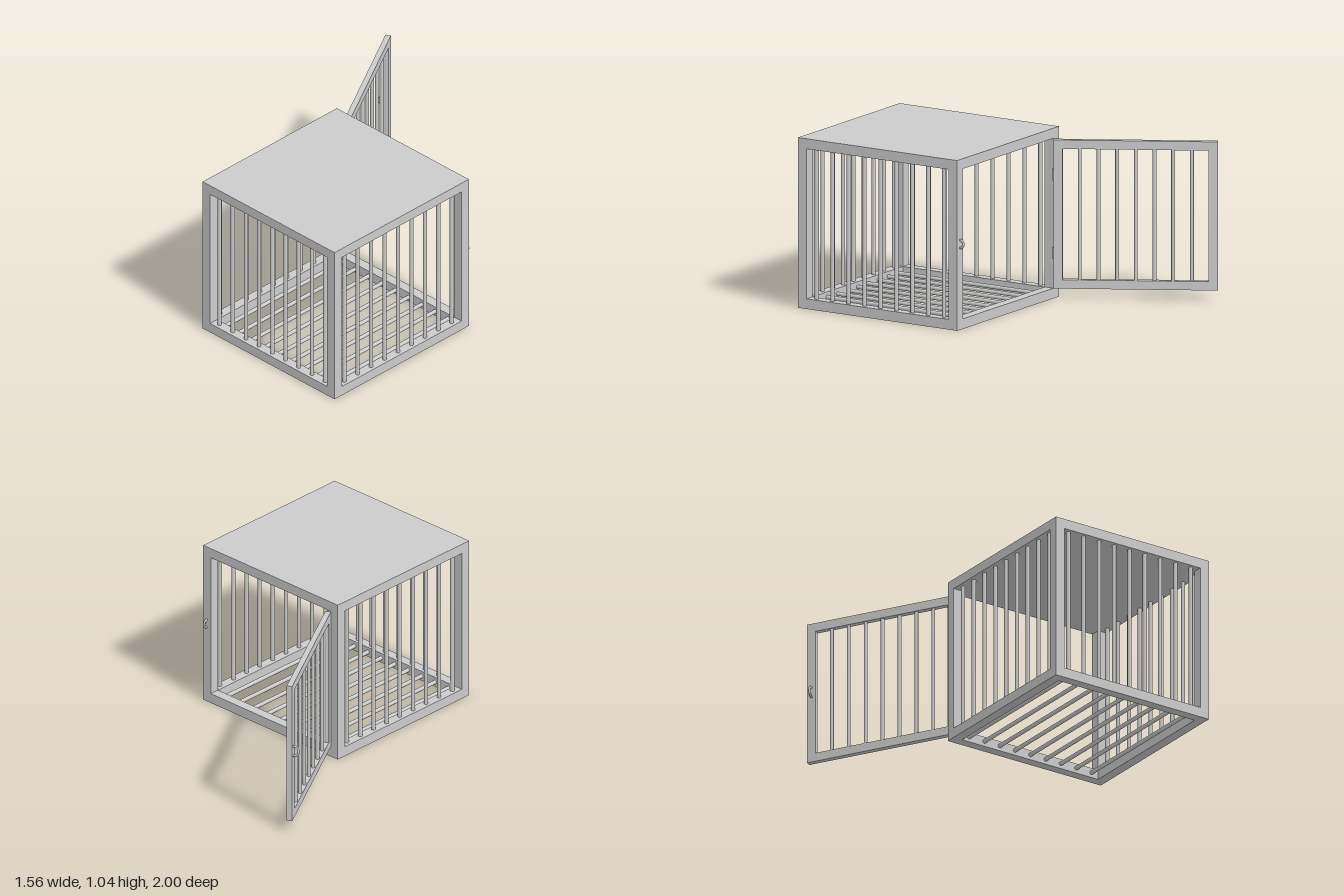
import * as THREE from 'three';

const X0 = -0.33, X1 = 0.777, Z0 = -0.135, Z1 = 1.0, H = 1.04, F = 0.062;
const W = X1 - X0, D = Z1 - Z0, CX = (X0 + X1) / 2, CZ = (Z0 + Z1) / 2;
const material = new THREE.MeshStandardMaterial({ color: 0xcccccc });

function add(parent, name, geometry, x, y, z) {
  const mesh = new THREE.Mesh(geometry, material);
  mesh.name = name;
  mesh.position.set(x, y, z);
  parent.add(mesh);
  return mesh;
}

const box = (parent, name, w, h, d, x, y, z) =>
  add(parent, name, new THREE.BoxGeometry(w, h, d), x, y, z);

const bar = (parent, name, radius, length, x, y, z) =>
  add(parent, name, new THREE.CylinderGeometry(radius, radius, length, 12), x, y, z);

// Half ring standing out toward -z, upright in the yz plane
function latch(parent, name, radius, tube, x, y, z) {
  const geometry = new THREE.TorusGeometry(radius, tube, 8, 16, Math.PI);
  geometry.rotateZ(Math.PI / 2).rotateY(-Math.PI / 2);
  return add(parent, name, geometry, x, y, z);
}

function createCage() {
  const cage = new THREE.Group();
  cage.name = 'cage';

  // Solid roof, corner posts and bottom rails
  box(cage, 'roof', W, F, D, CX, H - F / 2, CZ);
  for (const x of [X0 + F / 2, X1 - F / 2]) {
    for (const z of [Z0 + F / 2, Z1 - F / 2]) {
      box(cage, 'cornerPost', F, H - 2 * F, F, x, H / 2, z);
    }
    box(cage, 'sideBottomRail', F, F, D - 2 * F, x, F / 2, CZ);
  }
  for (const z of [Z0 + F / 2, Z1 - F / 2]) {
    box(cage, 'crossBottomRail', W, F, F, CX, F / 2, z);
  }

  // Upright bars on the front and both sides, floor bars running front to back
  const r = 0.0125, barLength = H - 1.6 * F;
  for (let i = 1; i < 10; i++) {
    const x = X0 + W * i / 10, z = Z0 + D * i / 10;
    bar(cage, 'frontBar', r, barLength, x, H / 2, Z1 - F / 2);
    bar(cage, 'rightSideBar', r, barLength, X0 + F / 2, H / 2, z);
    bar(cage, 'leftSideBar', r, barLength, X1 - F / 2, H / 2, z);
    bar(cage, 'floorBar', r, D - 1.6 * F, x, F / 2, CZ).rotation.x = Math.PI / 2;
  }

  latch(cage, 'postLatch', 0.025, 0.007, 0.747, 0.525, Z0);
  return cage;
}

// Door built along +x from its hinge edge, then swung open
function createDoor() {
  const door = new THREE.Group();
  door.name = 'door';
  const L = 0.98, y0 = 0.067, y1 = 0.975, s = 0.054, t = 0.034;
  const cy = (y0 + y1) / 2;

  for (const y of [y0 + s / 2, y1 - s / 2]) box(door, 'doorRail', L, s, t, L / 2, y, 0);
  for (const x of [s / 2, L - s / 2]) box(door, 'doorStile', s, y1 - y0 - 2 * s, t, x, cy, 0);
  for (let i = -4; i <= 4; i++) {
    bar(door, 'doorBar', 0.0115, y1 - y0 - 1.6 * s, L / 2 + i * 0.1115, cy, 0);
  }
  // Hinge pins on the pivot edge
  for (const y of [0.28, 0.76]) bar(door, 'hinge', 0.008, 0.07, 0, y, 0);
  latch(door, 'doorLatch', 0.032, 0.007, L - 0.03, 0.525, -t / 2);

  door.position.set(-0.259, 0, -0.143);
  door.rotation.y = THREE.MathUtils.degToRad(120);
  return door;
}

export function createModel() {
  const model = new THREE.Group();
  model.name = 'barredCage';
  model.add(createCage(), createDoor());
  return model;
}
